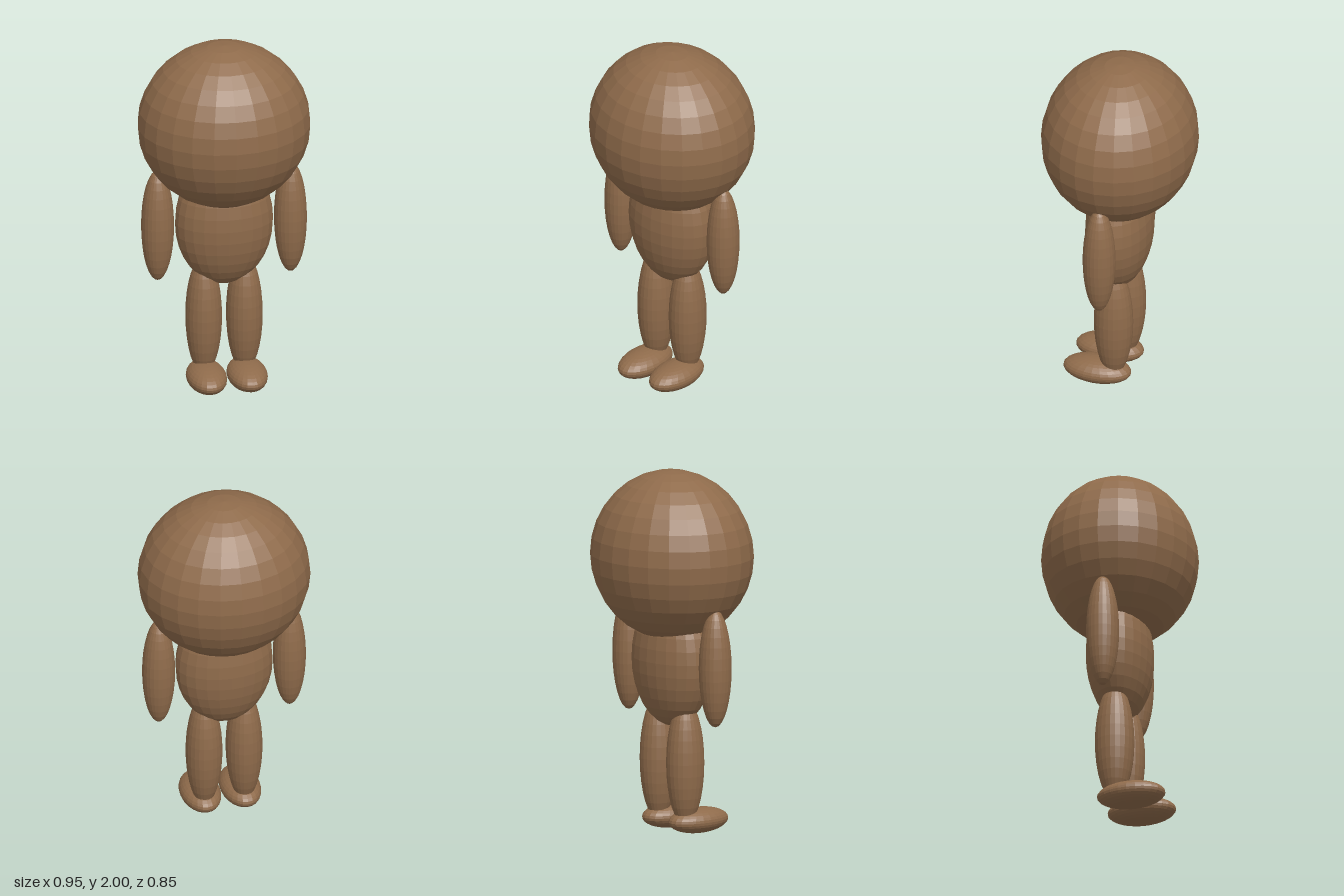
import * as THREE from 'three';

export function createModel() {
  const model = new THREE.Group();
  model.name = 'figure';
  const brown = new THREE.MeshStandardMaterial({ color: 0x8f6b4b });
  brown.name = 'brown';

  // Faceted unit sphere, so each face keeps its own normal
  function ellipsoid(name, [x, y, z], [rx, ry, rz]) {
    let geometry = new THREE.SphereGeometry(1, 24, 16);
    geometry.scale(rx, ry, rz);
    geometry = geometry.toNonIndexed();
    geometry.computeVertexNormals();
    const mesh = new THREE.Mesh(geometry, brown);
    mesh.name = name;
    mesh.position.set(x, y, z);
    model.add(mesh);
  }

  // Head and body
  ellipsoid('head', [0, 1.534, 0], [0.473, 0.466, 0.426]);
  ellipsoid('torso', [0, 0.96, 0], [0.27, 0.37, 0.18]);

  // Mirrored limbs
  for (const [side, s] of [['left', 1], ['right', -1]]) {
    ellipsoid(side + 'Arm', [s * 0.366, 0.955, 0], [0.09, 0.325, 0.09]);
    ellipsoid(side + 'Leg', [s * 0.112, 0.4, 0], [0.1, 0.345, 0.108]);
    ellipsoid(side + 'Foot', [s * 0.112, 0.073, 0.093], [0.11, 0.07, 0.191]);
  }
  return model;
}
